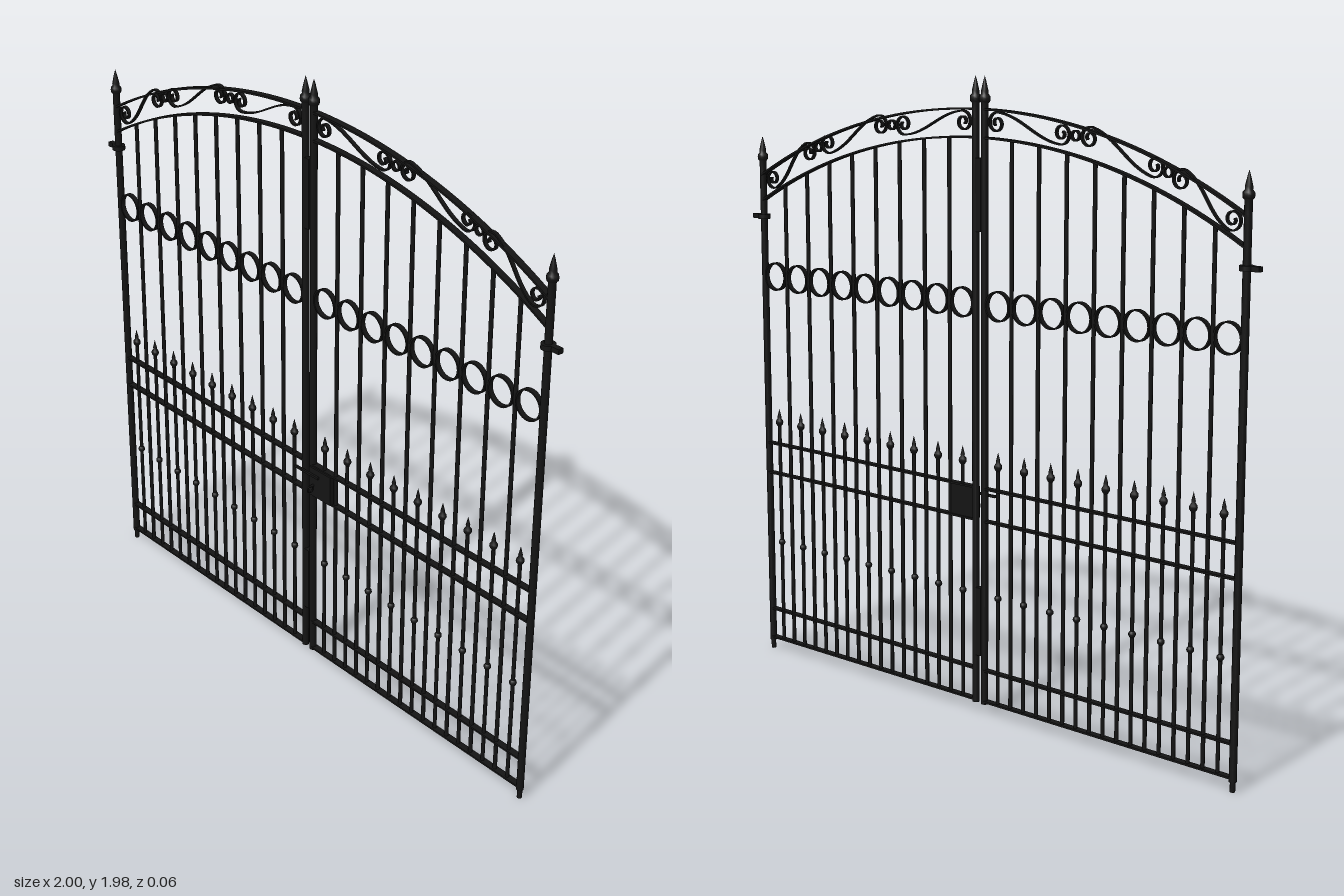
import * as THREE from 'three';

const iron = new THREE.MeshStandardMaterial({ color: 0x141414 });
iron.name = 'black iron';

const Z = -0.01;        // centre plane of the gate
const PITCH = 0.1037;   // distance between neighbouring long bars
const FIRST = 0.0725;   // x of the first short bar
const POST_IN = 0.018, POST_OUT = 0.955;
const ARC_R = 1.949;

// height of an arch at x, given its crown height
const archY = (x, crown) => crown - ARC_R + Math.sqrt(ARC_R * ARC_R - x * x);

function add(parent, name, geometry, x = 0, y = 0, z = 0) {
  const mesh = new THREE.Mesh(geometry, iron);
  mesh.name = name;
  mesh.position.set(x, y, z);
  parent.add(mesh);
  return mesh;
}

const box = (parent, name, w, h, d, x, y, z = 0) =>
  add(parent, name, new THREE.BoxGeometry(w, h, d), x, y, z);

function rod(parent, name, r, y0, y1, x, sides = 8) {
  return add(parent, name, new THREE.CylinderGeometry(r, r, y1 - y0, sides), x, (y0 + y1) / 2);
}

const lathe = (pairs, sides = 10) =>
  new THREE.LatheGeometry(pairs.map(([r, y]) => new THREE.Vector2(r, y)), sides);

// flat iron strap following points in the xy plane: thickness t, depth d
function strap(points, t, d, closed = false) {
  const n = points.length, pos = [], idx = [];
  const corners = [[-1, -1], [1, -1], [1, 1], [-1, 1]];
  points.forEach((p, i) => {
    const a = points[closed ? (i + n - 1) % n : Math.max(i - 1, 0)];
    const b = points[closed ? (i + 1) % n : Math.min(i + 1, n - 1)];
    const dir = b.clone().sub(a).normalize();
    for (const [s, q] of corners) pos.push(p.x - dir.y * s * t / 2, p.y + dir.x * s * t / 2, q * d / 2);
  });
  const segs = closed ? n : n - 1;
  for (let i = 0; i < segs; i++) {
    const a = i * 4, b = ((i + 1) % n) * 4;
    for (let k = 0; k < 4; k++) {
      const m = (k + 1) % 4;
      idx.push(a + k, a + m, b + m, a + k, b + m, b + k);
    }
  }
  if (!closed) {
    const e = (n - 1) * 4;
    idx.push(0, 2, 1, 0, 3, 2, e, e + 1, e + 2, e, e + 2, e + 3);
  }
  const g = new THREE.BufferGeometry();
  g.setAttribute('position', new THREE.Float32BufferAttribute(pos, 3));
  g.setIndex(idx);
  const flat = g.toNonIndexed();
  flat.computeVertexNormals();
  return flat;
}

function ring(r, t, d, sides = 32) {
  const pts = [];
  for (let i = 0; i < sides; i++) {
    const a = i / sides * Math.PI * 2;
    pts.push(new THREE.Vector2(Math.cos(a) * r, Math.sin(a) * r));
  }
  return strap(pts, t, d, true);
}

// S-scroll of the given length along x, centred on the origin; dir mirrors it
function scroll(length, r, dir) {
  const turns = 1.4, steps = 30, half = length / 2, curl = [];
  for (let i = 0; i <= steps; i++) {
    const k = i / steps;
    const ang = -Math.PI / 2 - (1 - k) * turns * Math.PI * 2;
    const rad = r * (0.25 + 0.75 * k);
    curl.push(new THREE.Vector2(-half + Math.cos(ang) * rad, Math.sin(ang) * rad));
  }
  const p = curl[steps], pull = length * 0.38;
  const link = new THREE.CubicBezierCurve(p, new THREE.Vector2(p.x + pull, p.y),
    new THREE.Vector2(-p.x - pull, -p.y), new THREE.Vector2(-p.x, -p.y)).getPoints(16).slice(1, -1);
  const end = curl.map((c) => new THREE.Vector2(-c.x, -c.y)).reverse();
  const path = [...curl, ...link, ...end].map((c) => new THREE.Vector2(c.x * dir, c.y));
  return strap(path, 0.005, 0.012);
}

const postFinial = lathe([[0.0115, 0], [0.0115, 0.045], [0.0165, 0.05], [0.0175, 0.058], [0.0165, 0.066],
  [0.011, 0.072], [0.0115, 0.08], [0.005, 0.108], [0, 0.125]], 12);
const spear = lathe([[0.006, 0], [0.0115, 0.008], [0.0125, 0.014], [0.0115, 0.02], [0.006, 0.027],
  [0.0065, 0.033], [0, 0.06]], 8);
const knot = new THREE.SphereGeometry(0.0115, 10, 8);
const circle = ring(0.0445, 0.005, 0.016);

// one leaf; s = 1 for the left leaf, -1 for the right
function buildLeaf(s) {
  const leaf = new THREE.Group();
  leaf.name = s > 0 ? 'leftLeaf' : 'rightLeaf';
  leaf.position.z = Z;

  // posts with finials
  rod(leaf, 'outerPost', 0.0115, 0.03, 1.64, s * POST_OUT, 12);
  rod(leaf, 'pivotFoot', 0.008, 0, 0.03, s * POST_OUT, 12);
  add(leaf, 'outerFinial', postFinial, s * POST_OUT, 1.635);
  rod(leaf, 'innerPost', 0.0115, 0.033, 1.87, s * POST_IN, 12);
  add(leaf, 'innerFinial', postFinial, s * POST_IN, 1.857);

  // hinge
  rod(leaf, 'hingeCollar', 0.021, 1.489, 1.504, s * POST_OUT, 20);
  box(leaf, 'hingeArm', 0.045, 0.015, 0.018, s * 0.9775, 1.4965);

  // flat rails
  const mid = (POST_IN + POST_OUT) / 2, span = POST_OUT - POST_IN;
  for (const y of [0.042, 0.144, 0.627, 0.73]) box(leaf, 'rail', span, 0.006, 0.022, s * mid, y);

  // arched rails
  for (const crown of [1.884, 1.8]) {
    const pts = [];
    for (let i = 0; i <= 32; i++) {
      const x = s * (POST_IN + span * i / 32);
      pts.push(new THREE.Vector2(x, archY(x, crown)));
    }
    add(leaf, 'archRail', strap(pts, 0.006, 0.022));
  }

  // short spears, knots and circles, with long bars between them
  for (let i = 0; i < 9; i++) {
    const x = s * (FIRST + PITCH * i);
    rod(leaf, 'shortBar', 0.006, 0.042, 0.795, x);
    add(leaf, 'spear', spear, x, 0.792);
    add(leaf, 'knot', knot, x, 0.388);
    add(leaf, 'circle', circle, x, 1.3);
    if (i < 8) {
      const lx = x + s * PITCH / 2;
      rod(leaf, 'longBar', 0.0065, 0.042, archY(lx, 1.799), lx);
    }
  }

  // scrollwork between the arches, each scroll tilted along the arch
  for (const [ax, ay, bx, by] of [[0.906, 1.624, 0.735, 1.718], [0.645, 1.752, 0.414, 1.818],
    [0.312, 1.826, 0.066, 1.845]]) {
    const mesh = add(leaf, 'scroll', scroll(Math.hypot(ax - bx, ay - by), 0.032, -s),
      s * (ax + bx) / 2, (ay + by) / 2);
    mesh.rotation.z = -s * Math.atan2(by - ay, ax - bx);
  }
  for (const [x, y] of [[0.69, 1.738], [0.363, 1.822]])
    add(leaf, 'scrollRing', ring(0.014, 0.005, 0.012, 20), s * x, y);

  return leaf;
}

export function createModel() {
  const gate = new THREE.Group();
  gate.name = 'gate';
  gate.add(buildLeaf(1), buildLeaf(-1));

  // stop strips closing the gap between the leaves
  for (const y of [1.63, 0.3]) box(gate, 'stopStrip', 0.02, 0.22, 0.024, 0, y, Z + 0.001);

  // lock case, latch bolt and handle
  const lock = new THREE.Group();
  lock.name = 'lock';
  box(lock, 'lockCase', 0.1, 0.1, 0.022, 0.067, 0.678, -0.004);
  box(lock, 'latchBolt', 0.11, 0.008, 0.007, 0.01, 0.704, 0.0105);
  const stem = add(lock, 'handleStem', new THREE.CylinderGeometry(0.004, 0.004, 0.02, 8), 0.038, 0.668, 0.014);
  stem.rotation.x = Math.PI / 2;
  const pull = add(lock, 'handleRing', new THREE.TorusGeometry(0.011, 0.0025, 6, 20), 0.038, 0.658, 0.02);
  pull.rotation.y = Math.PI / 2;
  gate.add(lock);

  return gate;
}
